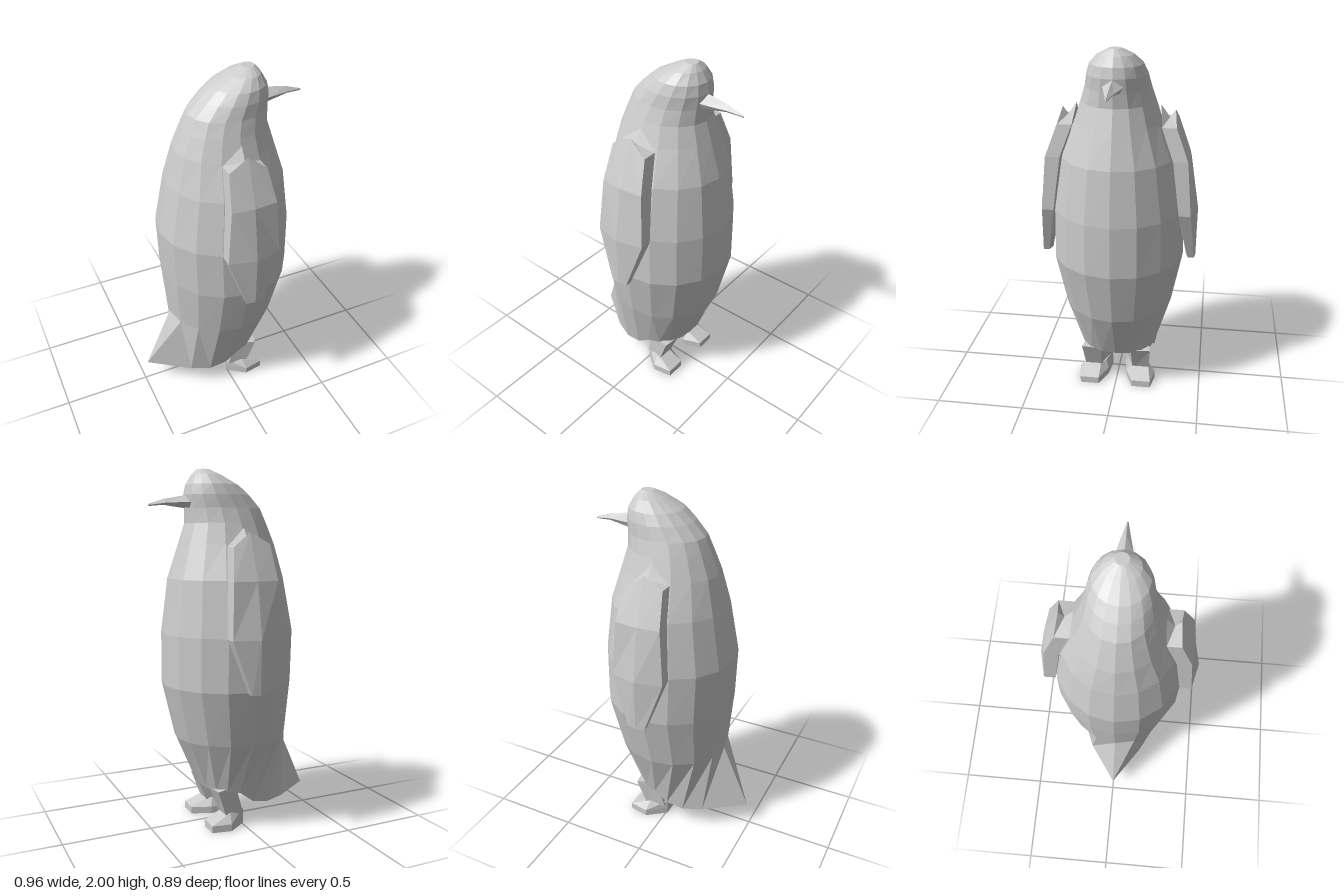
import * as THREE from 'three';
import { toCreasedNormals } from 'three/addons/utils/BufferGeometryUtils.js';

// Skin a stack of equal-sized point rings and close both ends with fans.
function loft(rings) {
  const n = rings[0].length, pos = rings.flat(2), idx = [];
  const at = (i, j) => i * n + (j % n);
  for (let i = 0; i < rings.length - 1; i++)
    for (let j = 0; j < n; j++)
      idx.push(at(i, j), at(i + 1, j), at(i, j + 1), at(i, j + 1), at(i + 1, j), at(i + 1, j + 1));
  [0, rings.length - 1].forEach((r, end) => {
    const c = pos.length / 3;
    for (let k = 0; k < 3; k++) pos.push(rings[r].reduce((s, p) => s + p[k], 0) / n);
    for (let j = 0; j < n; j++)
      idx.push(c, at(r, end ? j + 1 : j), at(r, end ? j : j + 1));
  });
  // Signed volume decides whether the winding must be reversed
  let volume = 0;
  const v = (i) => new THREE.Vector3().fromArray(pos, i * 3);
  for (let t = 0; t < idx.length; t += 3) volume += v(idx[t]).dot(v(idx[t + 1]).cross(v(idx[t + 2])));
  if (volume < 0) idx.reverse();
  const g = new THREE.BufferGeometry();
  g.setAttribute('position', new THREE.Float32BufferAttribute(pos, 3));
  g.setIndex(idx);
  return g;
}

const smooth = new THREE.MeshStandardMaterial({ color: 0xcccccc });
const faceted = new THREE.MeshStandardMaterial({ color: 0xcccccc, flatShading: true });

function part(name, geometry, material = faceted) {
  geometry.computeVertexNormals();
  const mesh = new THREE.Mesh(geometry, material);
  mesh.name = name;
  return mesh;
}

// Body and head: 16-sided rings, ending in a pointed tail at the hem
function buildBody() {
  const hem = [[0.2, 0.22, 0], [0.19, 0.22, 0.08], [0.16, 0.22, 0.15], [0.11, 0.22, 0.195], [0.04, 0.21, 0.215],
    [-0.04, 0.15, 0.215], [-0.14, 0.13, 0.205], [-0.25, 0.13, 0.16], [-0.48, 0.13, 0]];
  const rings = [Array.from({ length: 16 }, (_, j) => {
    const [x, y, z] = hem[j <= 8 ? j : 16 - j];
    return [x, y, j <= 8 ? z : -z];
  })];
  // y, back x, front x, half width
  const sections = [
    [0.51, -0.315, 0.33, 0.31], [0.82, -0.34, 0.4, 0.37], [1.11, -0.35, 0.398, 0.365],
    [1.41, -0.295, 0.36, 0.315], [1.6, -0.245, 0.3, 0.24], [1.71, -0.2, 0.265, 0.203],
    [1.79, -0.165, 0.267, 0.178], [1.86, -0.1, 0.272, 0.163], [1.915, -0.035, 0.26, 0.142],
    [1.965, 0.06, 0.23, 0.095], [1.997, 0.13, 0.2, 0.035],
  ];
  for (const [y, back, front, half] of sections)
    rings.push(Array.from({ length: 16 }, (_, j) => {
      const a = j * Math.PI / 8;
      return [(back + front) / 2 + (front - back) / 2 * Math.cos(a), y, half * Math.sin(a)];
    }));
  return part('body', toCreasedNormals(loft(rings), 0.95), smooth);
}

// Flipper: ridged outer face, flat inner face; s is the side
function buildFlipper(s) {
  // y, back x, middle x, front x, ridge z, edge z, inner z, peak rise
  const sections = [
    [0.82, -0.02, 0.03, 0.08, 0.442, 0.435, 0.4, 0], [1.11, -0.12, 0.03, 0.177, 0.445, 0.41, 0.345, 0],
    [1.41, -0.095, 0.03, 0.16, 0.398, 0.385, 0.305, 0], [1.6, -0.08, 0.03, 0.13, 0.305, 0.318, 0.24, 0.06],
  ];
  return part('flipper', loft(sections.map(([y, b, m, f, ridge, edge, inner, up]) => [
    [b, y, s * edge], [m, y + up, s * ridge], [f, y - up / 4, s * edge],
    [f, y - up / 4, s * inner], [m, y + up * 1.4, s * (inner - 0.012)], [b, y, s * inner],
  ])));
}

// Leg and foot, both turned slightly outwards
function buildLeg(s) {
  const group = new THREE.Group();
  group.name = s > 0 ? 'leftLeg' : 'rightLeg';
  const ring = (list) => list.map(([x, y, z]) => [x, y, s * z]);
  group.add(part('shank', loft([
    ring([[0, 0.07, 0.05], [0, 0.07, 0.17], [0.11, 0.06, 0.19], [0.11, 0.06, 0.095]]),
    ring([[0.07, 0.24, 0.035], [0.05, 0.24, 0.18], [0.17, 0.23, 0.205], [0.18, 0.23, 0.09]]),
  ])));
  group.add(part('foot', loft([
    ring([[-0.01, 0, 0.04], [-0.01, 0, 0.15], [0.1, 0, 0.23], [0.21, 0, 0.21], [0.21, 0, 0.1], [0.1, 0, 0.055]]),
    ring([[-0.01, 0.04, 0.04], [-0.01, 0.04, 0.15], [0.1, 0.04, 0.23], [0.21, 0.04, 0.21], [0.21, 0.04, 0.1], [0.1, 0.04, 0.055]]),
    ring([[-0.01, 0.09, 0.045], [-0.01, 0.09, 0.145], [0.09, 0.09, 0.19], [0.11, 0.085, 0.185], [0.11, 0.085, 0.1], [0.09, 0.09, 0.07]]),
  ])));
  return group;
}

// Beak: notched diamond section tapering to a drooping tip
function buildBeak() {
  // x, top y, side y, corner y, underside y, half width
  const sections = [
    [0.21, 1.865, 1.825, 1.79, 1.81, 0.06], [0.275, 1.857, 1.82, 1.792, 1.81, 0.05],
    [0.39, 1.837, 1.815, 1.805, 1.812, 0.023], [0.48, 1.808, 1.803, 1.798, 1.797, 0.003],
  ];
  return part('beak', loft(sections.map(([x, top, side, corner, under, w]) => [
    [x, top, 0], [x, side, w], [x, corner, w * 0.7], [x, under, 0], [x, corner, -w * 0.7], [x, side, -w],
  ])));
}

export function createModel() {
  const model = new THREE.Group();
  model.name = 'penguin';
  model.add(buildBody(), buildBeak());
  for (const s of [1, -1]) model.add(buildFlipper(s), buildLeg(s));
  return model;
}
